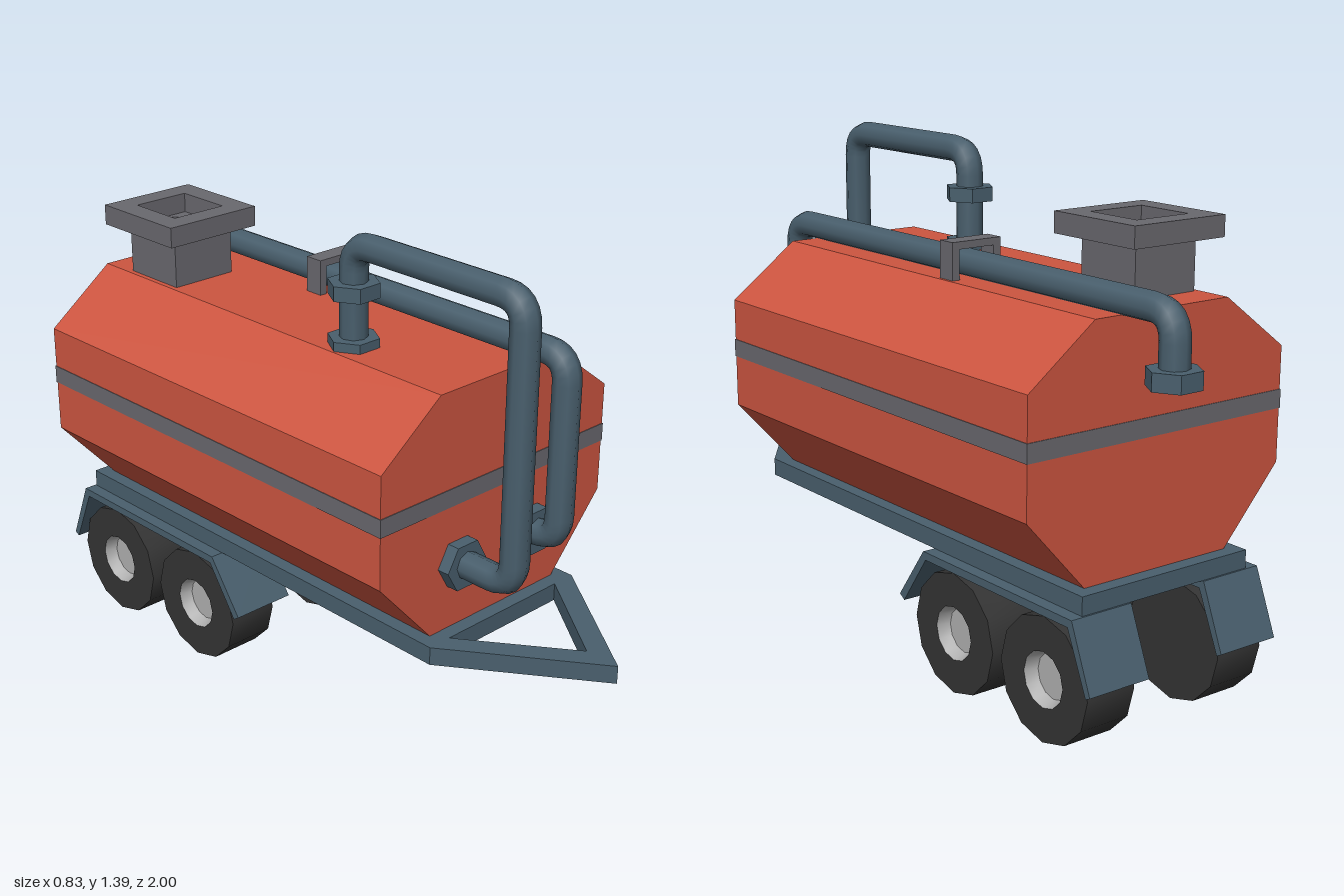
import * as THREE from 'three';
import { toCreasedNormals } from 'three/addons/utils/BufferGeometryUtils.js';

const RED = 0xcc5540, STEEL = 0x495f6d, GREY = 0x69686e, RUBBER = 0x343434, RIM = 0xb0b0b0;

// A path through points in the plane x = const, with rounded corners.
class PipePath extends THREE.Curve {
  constructor(x, corners, bend) {
    super();
    const c = corners.map(([z, y]) => new THREE.Vector3(x, y, z));
    this.pts = [c[0]];
    for (let i = 1; i < c.length - 1; i++) {
      const a = c[i - 1].clone().sub(c[i]).setLength(bend).add(c[i]);
      const b = c[i + 1].clone().sub(c[i]).setLength(bend).add(c[i]);
      this.pts.push(...new THREE.QuadraticBezierCurve3(a, c[i], b).getPoints(6));
    }
    this.pts.push(c[c.length - 1]);
  }
  getPointAt(u) {
    return this.pts[Math.round(u * (this.pts.length - 1))].clone();
  }
  getTangentAt(u) {
    const p = this.pts, n = p.length - 1, i = Math.round(u * n);
    const t = new THREE.Vector3();
    if (i > 0) t.add(p[i].clone().sub(p[i - 1]).normalize());
    if (i < n) t.add(p[i + 1].clone().sub(p[i]).normalize());
    return t.normalize();
  }
}

const poly = (pts) => new THREE.Shape(pts.map(([x, y]) => new THREE.Vector2(x, y)));
const extrude = (shape, depth) => new THREE.ExtrudeGeometry(shape, { depth, bevelEnabled: false });
const square = (h) => [[-h, -h], [h, -h], [h, h], [-h, h]];

export function createModel() {
  const model = new THREE.Group();
  model.name = 'tankTrailer';

  function add(name, geometry, color, parent = model) {
    const mesh = new THREE.Mesh(geometry, new THREE.MeshStandardMaterial({ color }));
    mesh.name = name;
    parent.add(mesh);
    return mesh;
  }

  // Tank: octagonal section along z, with a stripe around the middle
  const half = [[0.235, 0.42], [0.415, 0.62], [0.415, 0.93], [0.215, 1.08]];
  const section = [...half, ...half.map(([x, y]) => [-x, y]).reverse()];
  add('tank', extrude(poly(section), 1.34), RED).position.z = -0.76;
  add('stripe', new THREE.BoxGeometry(0.834, 0.05, 1.344), GREY).position.set(0, 0.79, -0.09);

  // Chassis frame with a V-shaped drawbar
  const frame = poly([[-0.275, -0.8], [0.275, -0.8], [0.275, 0.62], [0, 1], [-0.275, 0.62]]);
  frame.holes.push(
    poly([[-0.23, -0.76], [0.23, -0.76], [0.23, 0.575], [-0.23, 0.575]]),
    poly([[-0.205, 0.62], [0.205, 0.62], [0, 0.9]]));
  add('chassisFrame', extrude(frame, 0.05).rotateX(Math.PI / 2), STEEL).position.y = 0.42;

  // Mudguards: bent plate section drawn in (-z, y), swept across x
  const guard = poly([[0.11, 0.205], [0.21, 0.348], [0.79, 0.348], [0.86, 0.187],
    [0.876, 0.195], [0.805, 0.37], [0.2, 0.37], [0.09, 0.218]]);
  const guardGeo = extrude(guard, 0.19).rotateY(Math.PI / 2);

  // Wheels: tyre and dished rim turned around the axle, outer side towards +y
  const turn = (pts) => toCreasedNormals(
    new THREE.LatheGeometry(pts.map(([r, y]) => new THREE.Vector2(r, y)), 12), 0.6);
  const tyreGeo = turn([[0, -0.075], [0.168, -0.075], [0.168, 0.075], [0.075, 0.075]]);
  const rimGeo = turn([[0.075, 0.075], [0.062, 0.04], [0, 0.04]]);
  for (const side of [1, -1]) {
    add('mudguard', guardGeo, STEEL).position.x = side > 0 ? 0.122 : -0.312;
    for (const z of [-0.307, -0.677]) {
      const wheel = new THREE.Group();
      wheel.name = 'wheel';
      add('tyre', tyreGeo, RUBBER, wheel);
      add('rim', rimGeo, RIM, wheel);
      wheel.rotation.z = -side * Math.PI / 2;
      wheel.position.set(side * 0.217, 0.168, z);
      model.add(wheel);
    }
  }

  // Pipes, as corner points in (z, y)
  function pipe(name, x, corners) {
    const path = new PipePath(x, corners, 0.07);
    add(name, new THREE.TubeGeometry(path, path.pts.length - 1, 0.038, 8), STEEL);
  }
  pipe('fillPipe', -0.14, [[0.57, 0.605], [0.77, 0.605], [0.77, 1.354], [0.197, 1.354], [0.197, 1.07]]);
  pipe('dischargePipe', 0.128, [[0.57, 0.605], [0.685, 0.605], [0.685, 1.116], [-0.937, 1.116], [-0.937, 0.96]]);

  // Hexagonal flanges
  function flange(x, y, z, height, facingFront) {
    const geo = new THREE.CylinderGeometry(0.07, 0.07, height, 6).toNonIndexed().rotateY(Math.PI / 6);
    geo.computeVertexNormals();
    if (facingFront) geo.rotateX(Math.PI / 2);
    add('flange', geo, STEEL).position.set(x, y, z);
  }
  flange(-0.14, 0.602, 0.597, 0.036, true);
  flange(0.128, 0.602, 0.597, 0.036, true);
  flange(-0.14, 1.092, 0.197, 0.026, false);
  flange(-0.14, 1.234, 0.197, 0.04, false);
  flange(0.128, 0.962, -0.937, 0.046, false);

  // Bracket over the long pipe
  const arch = poly([[-0.078, 0], [-0.055, 0], [-0.055, 0.08], [0.055, 0.08],
    [0.055, 0], [0.078, 0], [0.078, 0.1], [-0.078, 0.1]]);
  add('pipeBracket', extrude(arch, 0.055), GREY).position.set(0.128, 1.08, -0.19);

  // Hatch: neck with an octagonal well under a square collar
  const hatch = new THREE.Group();
  hatch.name = 'hatch';
  hatch.position.set(-0.1, 0, -0.557);
  model.add(hatch);
  const neck = poly(square(0.1));
  neck.holes.push(poly(Array.from({ length: 8 }, (_, i) => {
    const a = (i + 0.5) * Math.PI / 4;
    return [0.075 * Math.cos(a), 0.075 * Math.sin(a)];
  })));
  const collar = poly(square(0.15));
  collar.holes.push(poly(square(0.085)));
  add('hatchNeck', extrude(neck, 0.15).rotateX(Math.PI / 2), GREY, hatch).position.y = 1.22;
  add('hatchCollar', extrude(collar, 0.057).rotateX(Math.PI / 2), GREY, hatch).position.y = 1.275;
  add('hatchFloor', new THREE.BoxGeometry(0.16, 0.08, 0.16), GREY, hatch).position.y = 1.14;

  return model;
}
